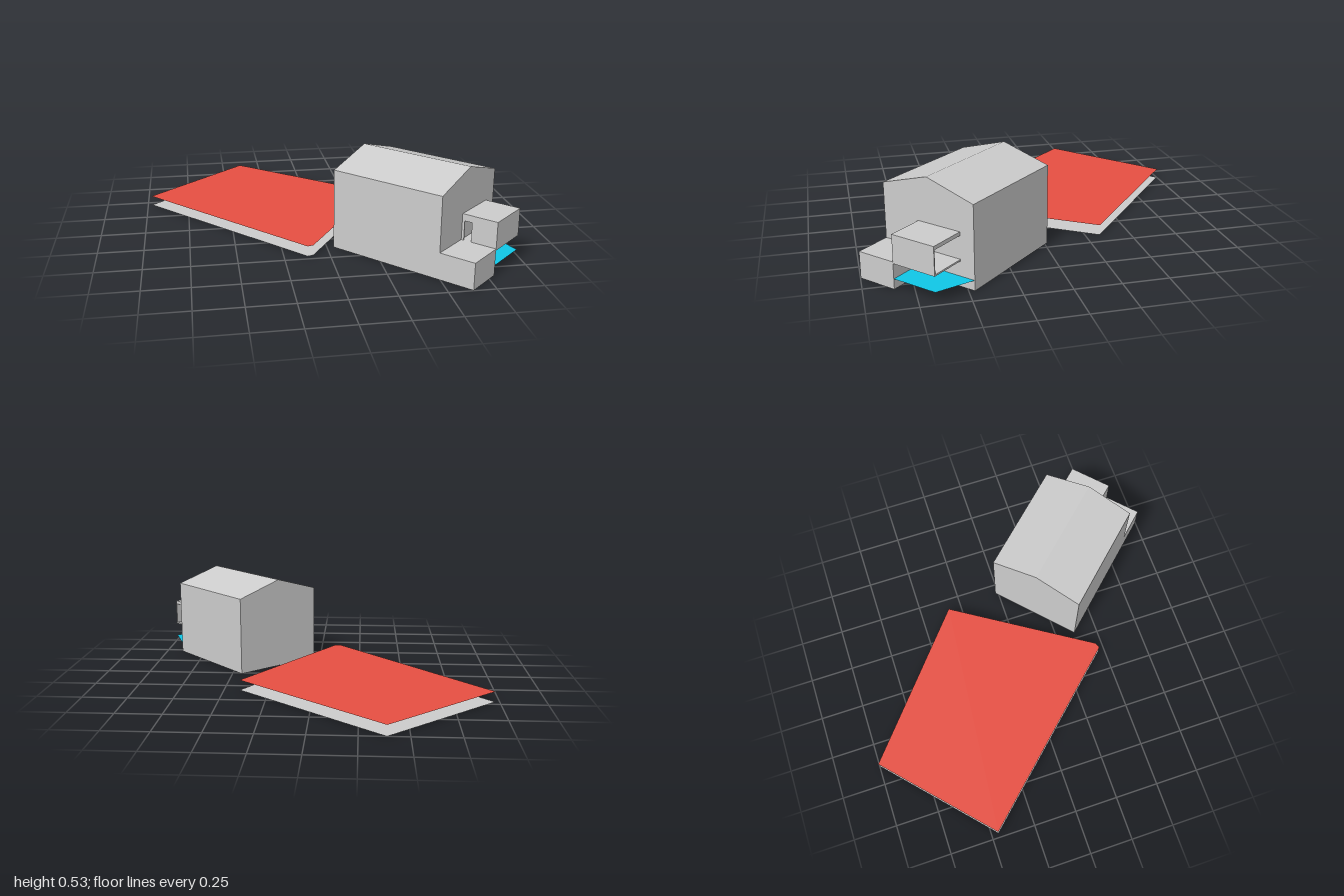
import * as THREE from 'three';

const wall = new THREE.MeshStandardMaterial({ color: 0xcccccc, side: THREE.DoubleSide });
wall.name = 'light grey';
const red = new THREE.MeshStandardMaterial({ color: 0xe64f42, side: THREE.DoubleSide });
red.name = 'red';
const cyan = new THREE.MeshStandardMaterial({ color: 0x10c6e6, side: THREE.DoubleSide });
cyan.name = 'cyan';

function add(parent, name, geometry, material) {
  const mesh = new THREE.Mesh(geometry, material);
  mesh.name = name;
  parent.add(mesh);
  return mesh;
}

// Box given by its limits along x, y and z
function block(parent, name, [x0, x1], [y0, y1], [z0, z1]) {
  const mesh = add(parent, name, new THREE.BoxGeometry(x1 - x0, y1 - y0, z1 - z0), wall);
  mesh.position.set((x0 + x1) / 2, (y0 + y1) / 2, (z0 + z1) / 2);
  return mesh;
}

// Flat horizontal sheet with an outline of [x, z] points
function sheet(parent, name, points, y, material) {
  const shape = new THREE.Shape(points.map(([x, z]) => new THREE.Vector2(x, -z)));
  const geometry = new THREE.ShapeGeometry(shape).rotateX(-Math.PI / 2);
  add(parent, name, geometry, material).position.y = y;
}

export function createModel() {
  const model = new THREE.Group();
  model.name = 'houseAndPlot';

  // Plot: a red sheet hovering over a grey one
  const plot = [[-0.387, -1], [0.412, -0.33], [-0.09, 0.455], [-0.122, 0.466], [-0.976, -0.46]];
  sheet(model, 'plotBase', plot, 0, wall);
  sheet(model, 'plotCover', plot, 0.058, red);

  // House frame: x runs along the gable, z along the ridge towards the porch
  const house = new THREE.Group();
  house.name = 'house';
  house.position.set(0.037, 0, 0.365);
  house.rotation.y = 0.7525;
  model.add(house);

  const W = 0.559, L = 0.667, P = L + 0.2;
  const gable = new THREE.Shape([[0, 0], [W, 0], [W, 0.45], [W / 2, 0.533], [0, 0.45]]
    .map(([x, y]) => new THREE.Vector2(x, y)));
  add(house, 'gabledBody', new THREE.ExtrudeGeometry(gable, { depth: L, bevelEnabled: false }), wall);

  // Low annex at the left of the gable end
  block(house, 'lowAnnex', [0, 0.22], [0, 0.147], [L, P]);

  // Raised porch, open on its far side
  const x0 = 0.22, x1 = 0.476, t = 0.006;
  block(house, 'porchFloor', [x0, x1], [0.138, 0.147], [L, P]);
  block(house, 'porchRoof', [x0, x1], [0.272, 0.292], [L, P]);
  block(house, 'porchFront', [x0, x1], [0.147, 0.272], [P - t, P]);

  // Porch side wall with a doorway next to the house
  block(house, 'doorPost', [x0, x0 + t], [0.147, 0.272], [L, L + 0.014]);
  block(house, 'doorLintel', [x0, x0 + t], [0.255, 0.272], [L + 0.014, L + 0.057]);
  block(house, 'porchSide', [x0, x0 + t], [0.147, 0.272], [L + 0.057, P - t]);

  // Pool sheet under the porch
  sheet(house, 'pool', [[x0, L], [x0, P], [x1, P], [W, L]], 0.056, cyan);

  return model;
}
